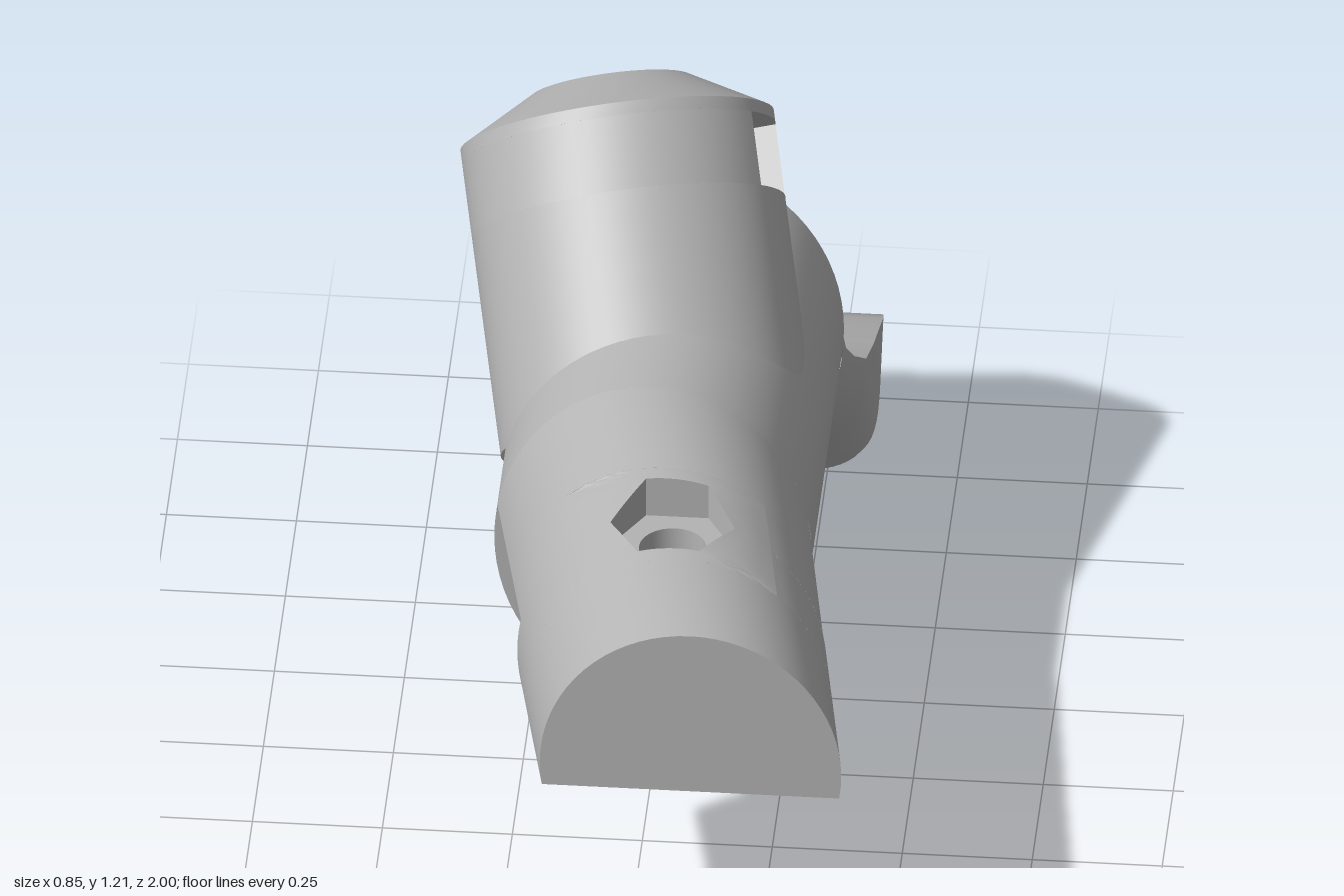
import * as THREE from 'three';
import { toCreasedNormals } from 'three/addons/utils/BufferGeometryUtils.js';

const grey = new THREE.MeshStandardMaterial({ color: 0xb4b4b4, side: THREE.DoubleSide });
grey.name = 'plain grey';

function add(parent, name, geometry) {
  const mesh = new THREE.Mesh(toCreasedNormals(geometry, 0.42), grey);
  mesh.name = name;
  parent.add(mesh);
  return mesh;
}

// Surface through rows of [x, y, z] points, all rows of equal length
function sheet(rows) {
  const n = rows[0].length, index = [];
  for (let r = 0; r < rows.length - 1; r++) {
    for (let i = 0; i < n - 1; i++) {
      const a = r * n + i, b = a + n;
      index.push(a, b, a + 1, a + 1, b, b + 1);
    }
  }
  const g = new THREE.BufferGeometry();
  g.setAttribute('position', new THREE.Float32BufferAttribute(rows.flat(2), 3));
  g.setIndex(index);
  return g;
}

// Horizontal plate from a shape drawn in (x, z)
const plate = (shape, y) => new THREE.ShapeGeometry(shape, 24).rotateX(Math.PI / 2).translate(0, y, 0);

// Elliptical section of the front arm, drifting sideways as it goes forward
const CY = 0.532;
function section(z) {
  const f = (z - 0.26) / 0.74;
  return { cx: 0.135 * f, rx: 0.305 - 0.015 * f, ry: 0.367 - 0.055 * f };
}
const startAngle = (z, yb) => Math.asin((yb - CY) / section(z).ry);
function armPoint(a, z) {
  const s = section(z);
  return [s.cx + s.rx * Math.cos(a), CY + s.ry * Math.sin(a), z];
}
function height(x, z) {
  const s = section(z);
  return CY + s.ry * Math.sqrt(Math.max(0, 1 - ((x - s.cx) / s.rx) ** 2));
}
function armRow(z, from, to, n = 40) {
  return Array.from({ length: n + 1 }, (_, i) => armPoint(from + (to - from) * i / n, z));
}

function buildArm() {
  const arm = new THREE.Group();
  arm.name = 'frontArm';
  const step = 0.635, high = 0.605, low = 0.48, hx = 0.07, hr = 0.065, pocketY = 0.79;
  const z0 = 0.5, z1 = 0.77, gap = THREE.MathUtils.degToRad(50);

  // Curved skin, leaving a window on top for the hex pocket
  const full = (z, yb) => armRow(z, startAngle(z, yb), Math.PI - startAngle(z, yb));
  add(arm, 'armSkinRear', sheet([full(0.26, high), full(z0, high)]));
  add(arm, 'armSkinFront', sheet([full(z1, low), full(1, low)]));
  for (const [a, b, yb] of [[z0, step, high], [step, z1, low]]) {
    const right = z => armRow(z, startAngle(z, yb), gap, 14);
    const left = z => armRow(z, Math.PI - startAngle(z, yb), Math.PI - gap, 14);
    add(arm, 'armSkinSide', sheet([right(a), right(b)]));
    add(arm, 'armSkinSide', sheet([left(a), left(b)]));
  }

  // Skin between the window edge and the hexagon
  const N = 48, hex = [], edge = [];
  for (let i = 0; i <= N; i++) {
    const t = i / N * Math.PI * 2;
    const r = 0.12 * Math.cos(Math.PI / 6) / Math.cos(t % (Math.PI / 3) - Math.PI / 6);
    hex.push([hx + r * Math.cos(t), step + r * Math.sin(t)]);
    const m = Math.max(Math.abs(Math.cos(t)), Math.abs(Math.sin(t)));
    const z = step + 0.135 * Math.sin(t) / m;
    edge.push([armPoint(Math.PI / 2 - (Math.PI / 2 - gap) * Math.cos(t) / m, z)[0], z]);
  }
  const ring = k => hex.map(([x, z], i) => {
    const px = x + (edge[i][0] - x) * k, pz = z + (edge[i][1] - z) * k;
    return [px, height(px, pz), pz];
  });
  add(arm, 'armSkinAroundPocket', sheet([0, 0.25, 0.5, 0.75, 1].map(ring)));

  // Hex pocket and the bolt hole beneath it
  add(arm, 'hexPocketWall', sheet([ring(0), hex.map(([x, z]) => [x, pocketY, z])]));
  const floor = new THREE.Shape(hex.slice(0, N).map(([x, z]) => new THREE.Vector2(x, z)));
  floor.holes.push(new THREE.Path().absarc(hx, step, hr, 0, Math.PI * 2, true));
  add(arm, 'hexPocketFloor', plate(floor, pocketY));
  add(arm, 'boltHole', new THREE.CylinderGeometry(hr, hr, pocketY - high, 32, 1, true)
    .translate(hx, (pocketY + high) / 2, step));
  add(arm, 'boltChannel', new THREE.CylinderGeometry(hr, hr, high - low, 16, 1, true, -Math.PI / 2, Math.PI)
    .translate(hx, (high + low) / 2, step));

  // Stepped underside with a half-round notch on each side of the step
  const end = (z, yb, side) => {
    const a = startAngle(z, yb);
    return armPoint(side > 0 ? a : Math.PI - a, z)[0];
  };
  for (const [zFar, yb, clockwise] of [[0.26, high, true], [1, low, false]]) {
    const s = new THREE.Shape();
    s.moveTo(end(zFar, yb, -1), zFar);
    s.lineTo(end(zFar, yb, 1), zFar);
    s.lineTo(end(step, yb, 1), step);
    s.lineTo(hx + hr, step);
    s.absarc(hx, step, hr, 0, Math.PI, clockwise);
    s.lineTo(end(step, yb, -1), step);
    add(arm, 'armUnderside', plate(s, yb));
  }
  for (const side of [-1, 1]) {
    add(arm, 'stepFace', sheet([[low, 0], [CY, 0], [high, 0]].map(([y]) =>
      [[hx + side * hr, y, step], [end(step, y, side), y, step]])));
  }
  const cap = new THREE.Shape(full(1, low).map(p => new THREE.Vector2(p[0], p[1])));
  add(arm, 'armEndFace', new THREE.ShapeGeometry(cap).translate(0, 0, 1));
  return arm;
}

// Tilted round neck with a chamfered end, a centre hole and a nut slot
function buildNeck() {
  const neck = new THREE.Group();
  neck.name = 'tiltedNeck';
  const R = 0.303, top = -0.025, bottom = -0.17, half = 0.09, back = -0.1;
  const profile = [[0.06, top], [0.06, 0.085], [0.155, 0.085], [R, 0], [R, top]];
  add(neck, 'neckEnd', new THREE.LatheGeometry(profile.map(p => new THREE.Vector2(...p)), 64));
  const turn = Math.asin(half / R);
  add(neck, 'neckSlottedBand', new THREE.CylinderGeometry(R, R, top - bottom, 56, 1, true,
    Math.PI / 2 + turn, Math.PI * 2 - 2 * turn).translate(0, (top + bottom) / 2, 0));
  add(neck, 'neckTube', new THREE.CylinderGeometry(R, R, 0.43, 64, 1, true).translate(0, bottom - 0.215, 0));

  const mouth = R * Math.cos(turn);
  const outline = [[mouth, -half], [back, -half], [back, half], [mouth, half]];
  add(neck, 'slotWalls', sheet([bottom, top].map(y => outline.map(([x, z]) => [x, y, z]))));
  for (const y of [bottom, top]) {
    const s = new THREE.Shape();
    s.moveTo(back, half);
    s.lineTo(back, -half);
    s.absarc(0, 0, R, -turn, turn, false);
    if (y === top) s.holes.push(new THREE.Path().absarc(0, 0, 0.06, 0, Math.PI * 2, true));
    add(neck, y === top ? 'slotCeiling' : 'slotFloor', plate(s, y));
  }

  const axis = new THREE.Vector3(-0.188, 0.695, -0.695).normalize();
  const v = new THREE.Vector3(0, 1, 1).normalize();
  const u = new THREE.Vector3().crossVectors(axis, v);
  const m = new THREE.Matrix4().makeBasis(u, axis, v).multiply(new THREE.Matrix4().makeRotationY(-0.2));
  neck.quaternion.setFromRotationMatrix(m);
  neck.position.set(-0.128, 1, -0.44);
  return neck;
}

// Rear tab: half ellipse at the body, becoming a wide rounded slab
function buildTab() {
  // top z, top y, bottom z, bottom y, half width, roundness
  const stations = [
    [-0.47, 0.52, -0.47, 0.165, 0.305, 1],
    [-0.49, 0.48, -0.50, 0.164, 0.308, 0.95],
    [-0.52, 0.44, -0.55, 0.155, 0.322, 0.85],
    [-0.57, 0.40, -0.62, 0.12, 0.34, 0.7],
    [-0.70, 0.345, -0.68, 0.06, 0.344, 0.5],
    [-0.82, 0.295, -0.72, 0.02, 0.344, 0.36],
    [-0.91, 0.255, -0.77, 0.003, 0.344, 0.3],
    [-0.965, 0.225, -0.83, 0.02, 0.34, 0.3],
    [-0.99, 0.195, -0.89, 0.055, 0.328, 0.3],
    [-1.0, 0.165, -0.94, 0.09, 0.305, 0.3],
    [-0.985, 0.13, -0.985, 0.13, 0.29, 0.3],
  ];
  const rows = stations.map(([tz, ty, bz, by, w, e]) => {
    const row = [];
    for (let i = 0; i <= 32; i++) {
      const c = Math.cos(i / 32 * Math.PI), s = Math.abs(Math.sin(i / 32 * Math.PI));
      const v = i % 32 === 0 ? 0 : s ** e;
      row.push([w * Math.sign(c) * Math.abs(c) ** e, ty + (by - ty) * v, tz + (bz - tz) * v]);
    }
    row.push(row[0]);
    return row;
  });
  return sheet(rows);
}

export function createModel() {
  const model = new THREE.Group();
  model.name = 'angledConnector';

  // Elliptical main body lying along z
  add(model, 'mainBody', new THREE.CylinderGeometry(1, 1, 0.74, 72).rotateX(Math.PI / 2)
    .scale(0.305, 0.367, 1).translate(0, CY, -0.11));
  model.add(buildArm(), buildNeck());
  add(model, 'rearTab', buildTab());
  return model;
}
